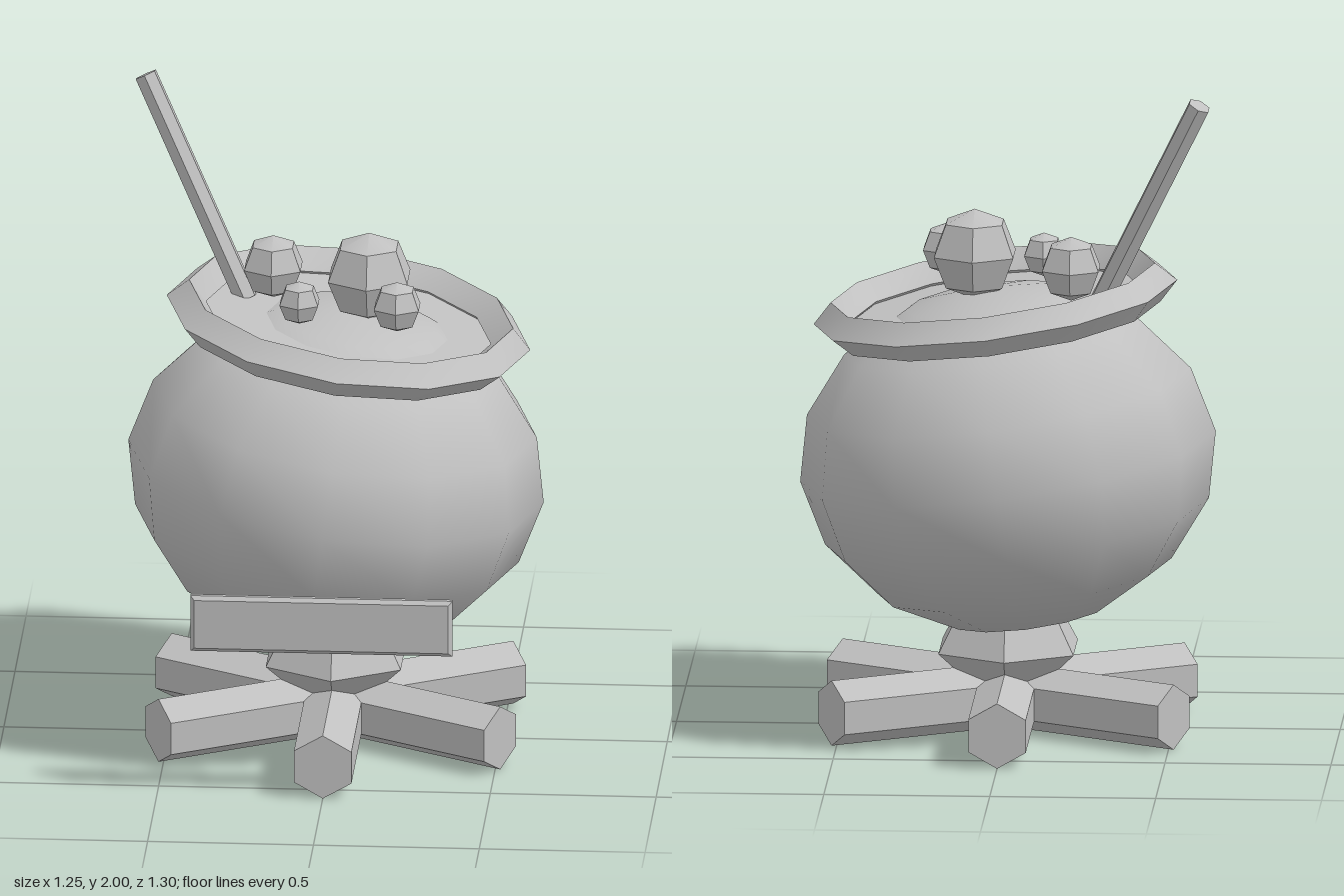
import * as THREE from 'three';
import { toCreasedNormals } from 'three/addons/utils/BufferGeometryUtils.js';

const gray = new THREE.MeshStandardMaterial({ color: 0xc0c0c0 });
gray.name = 'plain gray';

const CREASE = 0.55;

function part(name, geometry, parent, smooth = false) {
  const mesh = new THREE.Mesh(smooth ? geometry : toCreasedNormals(geometry, CREASE), gray);
  mesh.name = name;
  parent.add(mesh);
  return mesh;
}

export function createModel() {
  const model = new THREE.Group();
  model.name = 'cauldron';
  const midZ = -0.02;

  // Tilted pot: squashed round body, diamond-section rim and the brew surface
  const pot = new THREE.Group();
  pot.name = 'pot';
  pot.position.set(0, 0.834, midZ);
  pot.rotation.z = -0.136;
  model.add(pot);

  part('potBody', new THREE.SphereGeometry(0.632, 12, 8).scale(1, 0.832, 1), pot, true);
  part('rim', new THREE.TorusGeometry(0.493, 0.06, 4, 12).rotateX(Math.PI / 2), pot)
    .position.set(-0.027, 0.475, 0);
  part('brew', new THREE.CylinderGeometry(0.44, 0.44, 0.012, 12).rotateY(Math.PI / 2), pot)
    .position.set(-0.027, 0.461, 0);

  // Bubbles: x, y, z, radius
  const bubbles = [
    [0.1, 1.457, -0.022, 0.138],
    [-0.197, 1.44, -0.141, 0.098],
    [0.197, 1.43, 0.172, 0.078],
    [-0.1, 1.423, 0.134, 0.067],
  ];
  for (const [x, y, z, r] of bubbles) {
    part('bubble', new THREE.SphereGeometry(r, 6, 4).rotateY(Math.PI / 2), model)
      .position.set(x, y, z);
  }

  // Stirring stick leaning out of the pot
  const low = new THREE.Vector3(-0.28, 1.33, -0.152);
  const high = new THREE.Vector3(-0.593, 1.983, -0.31);
  const along = high.clone().sub(low);
  const stick = part('stirringStick', new THREE.CylinderGeometry(0.036, 0.036, along.length(), 6), model);
  stick.position.copy(low).add(high).multiplyScalar(0.5);
  stick.quaternion.setFromUnitVectors(new THREE.Vector3(0, 1, 0), along.normalize());

  // Three crossed hexagonal logs, each with an edge facing up
  for (let i = 0; i < 3; i++) {
    const log = part('log', new THREE.CylinderGeometry(0.1, 0.1, 1.19, 6).rotateX(Math.PI / 2), model);
    log.position.set(0, 0.1, midZ + 0.005);
    log.rotation.y = (i * Math.PI) / 3;
  }

  // Six-sided ember heap between logs and pot
  const profile = [[0, 0.12], [0.11, 0.13], [0.235, 0.246], [0.165, 0.37], [0, 0.42]]
    .map(([r, y]) => new THREE.Vector2(r, y));
  part('emberHeap', new THREE.LatheGeometry(profile, 6), model).position.z = midZ + 0.005;

  // Chamfered plaque in front of the pot
  const w = 0.383, h = 0.076;
  const outline = new THREE.Shape([
    new THREE.Vector2(-w, -h), new THREE.Vector2(w, -h),
    new THREE.Vector2(w, h), new THREE.Vector2(-w, h),
  ]);
  const plaque = new THREE.ExtrudeGeometry(outline, {
    depth: 0.014, bevelEnabled: true, bevelSegments: 1, bevelSize: 0.012, bevelThickness: 0.011,
  });
  part('plaque', plaque, model).position.set(0, 0.572, 0.626);

  return model;
}
